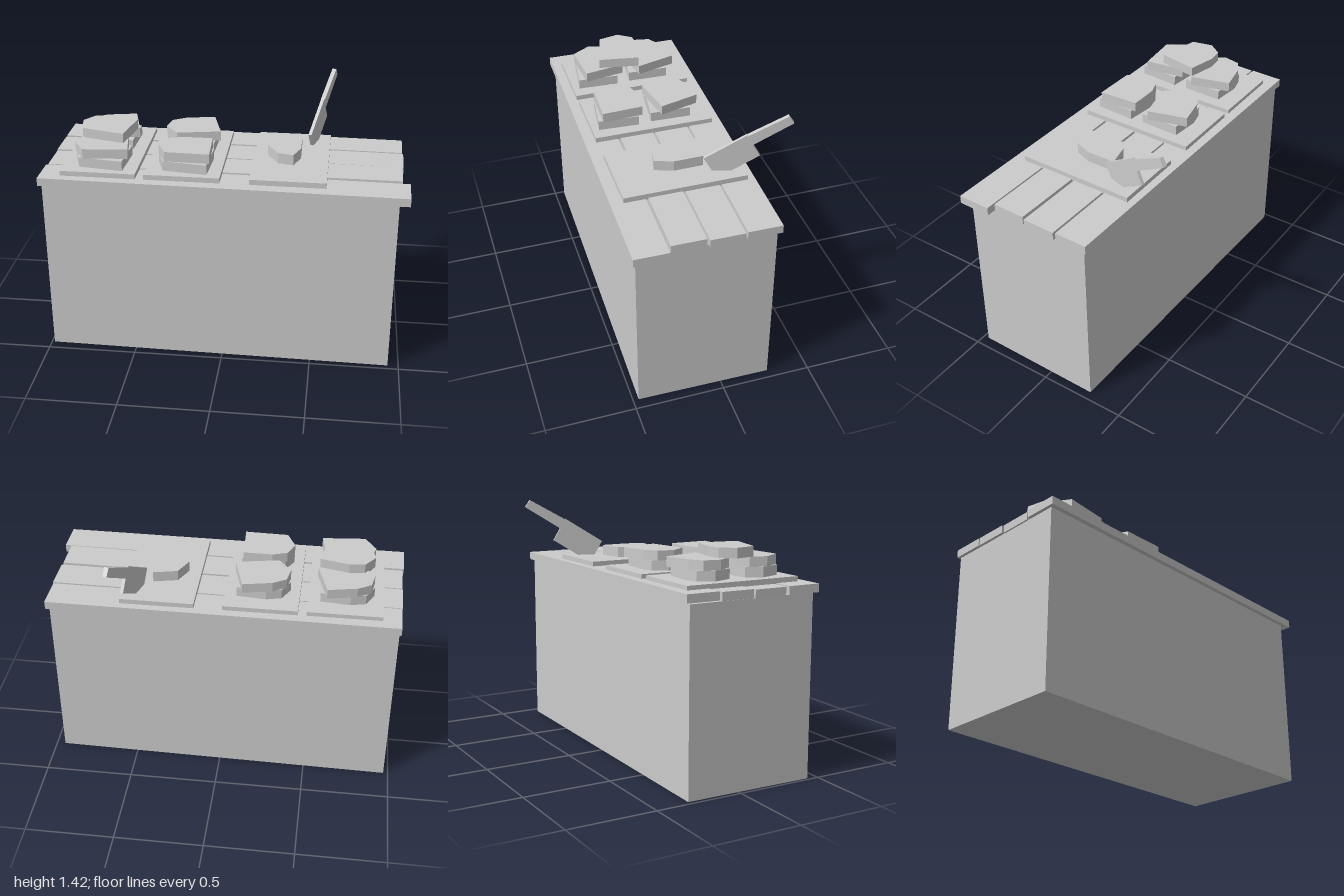
import * as THREE from 'three';

const material = new THREE.MeshStandardMaterial({ color: 0xcccccc, flatShading: true });
const YAW = -0.0145; // slight skew of the counter

export function createModel() {
  const model = new THREE.Group();

  const add = (name, geometry, x, y, z, yaw = 0, roll = 0) => {
    const mesh = new THREE.Mesh(geometry, material);
    mesh.name = name;
    mesh.position.set(x, y, z);
    mesh.rotation.set(0, yaw, roll);
    model.add(mesh);
    return mesh;
  };
  const box = (name, w, h, d, ...place) => add(name, new THREE.BoxGeometry(w, h, d), ...place);
  const outline = (points) => new THREE.Shape(points.map(([a, b]) => new THREE.Vector2(a, b)));

  // Counter body
  box('counterBody', 1.925, 1.01, 0.745, -0.017, 0.505, 0.083, YAW);

  // Top planks: left end, right end, centre z, centre y, roll
  [
    [-1.0, 0.997, 0.387, 1.033, -0.002],
    [-0.99, 0.96, 0.184, 1.035, 0.003],
    [-0.99, 0.97, -0.017, 1.034, -0.002],
    [-0.985, 0.968, -0.217, 1.036, -0.004],
  ].forEach(([x0, x1, z, y, roll]) =>
    box('topPlank', x1 - x0, 0.046, 0.188, (x0 + x1) / 2, y, z, YAW, roll));

  // Serving boards
  [-0.678, -0.22, 0.35].forEach((x) => box('servingBoard', 0.412, 0.034, 0.68, x, 1.068, 0.078, -0.004));

  // Irregular meat slabs, stacked in layers
  const slabShape = outline([
    [-0.15, 0], [-0.112, -0.088], [-0.03, -0.115], [0.135, -0.112], [0.145, 0.118], [-0.1, 0.11],
  ]);
  const slabGeometry = new THREE.ExtrudeGeometry(slabShape, { depth: 0.055, bevelEnabled: false });
  slabGeometry.rotateX(Math.PI / 2).translate(0, 0.055, 0);
  const slab = (x, z, layer, yaw) => add('meatSlab', slabGeometry, x, 1.085 + layer * 0.054, z, yaw);
  for (const x of [-0.682, -0.222]) {
    slab(x, -0.05, 0, -0.08);
    slab(x, -0.06, 1, 0.22);
    slab(x, 0.25, 0, -0.1);
    slab(x, 0.24, 1, x < -0.5 ? 0.12 : 0);
  }
  slab(-0.68, 0.105, 2, -0.22);

  // Small cut piece
  const pieceShape = outline([
    [0.215, 0.07], [0.265, -0.035], [0.4, -0.065], [0.402, 0.1], [0.365, 0.2], [0.28, 0.18],
  ]);
  const pieceGeometry = new THREE.ExtrudeGeometry(pieceShape, { depth: 0.06, bevelEnabled: false });
  add('cutPiece', pieceGeometry.rotateX(Math.PI / 2), 0, 1.145, 0);

  // Cleaver stuck in the third board: profiles run along the blade
  const cleaver = new THREE.Group();
  cleaver.name = 'cleaver';
  const plate = (name, points, thickness) => {
    const geometry = new THREE.ExtrudeGeometry(outline(points), { depth: thickness, bevelEnabled: false });
    const mesh = new THREE.Mesh(geometry.translate(0, 0, -thickness / 2), material);
    mesh.name = name;
    cleaver.add(mesh);
  };
  plate('cleaverBlade', [[0, 1.165], [0.073, 1.037], [0.295, 1.177], [0.222, 1.305]], 0.018);
  plate('cleaverHandle', [[0.222, 1.3], [0.256, 1.248], [0.462, 1.378], [0.434, 1.42]], 0.024);
  cleaver.position.set(0.442, 0, -0.052);
  cleaver.rotation.y = 1.3;
  model.add(cleaver);

  return model;
}
